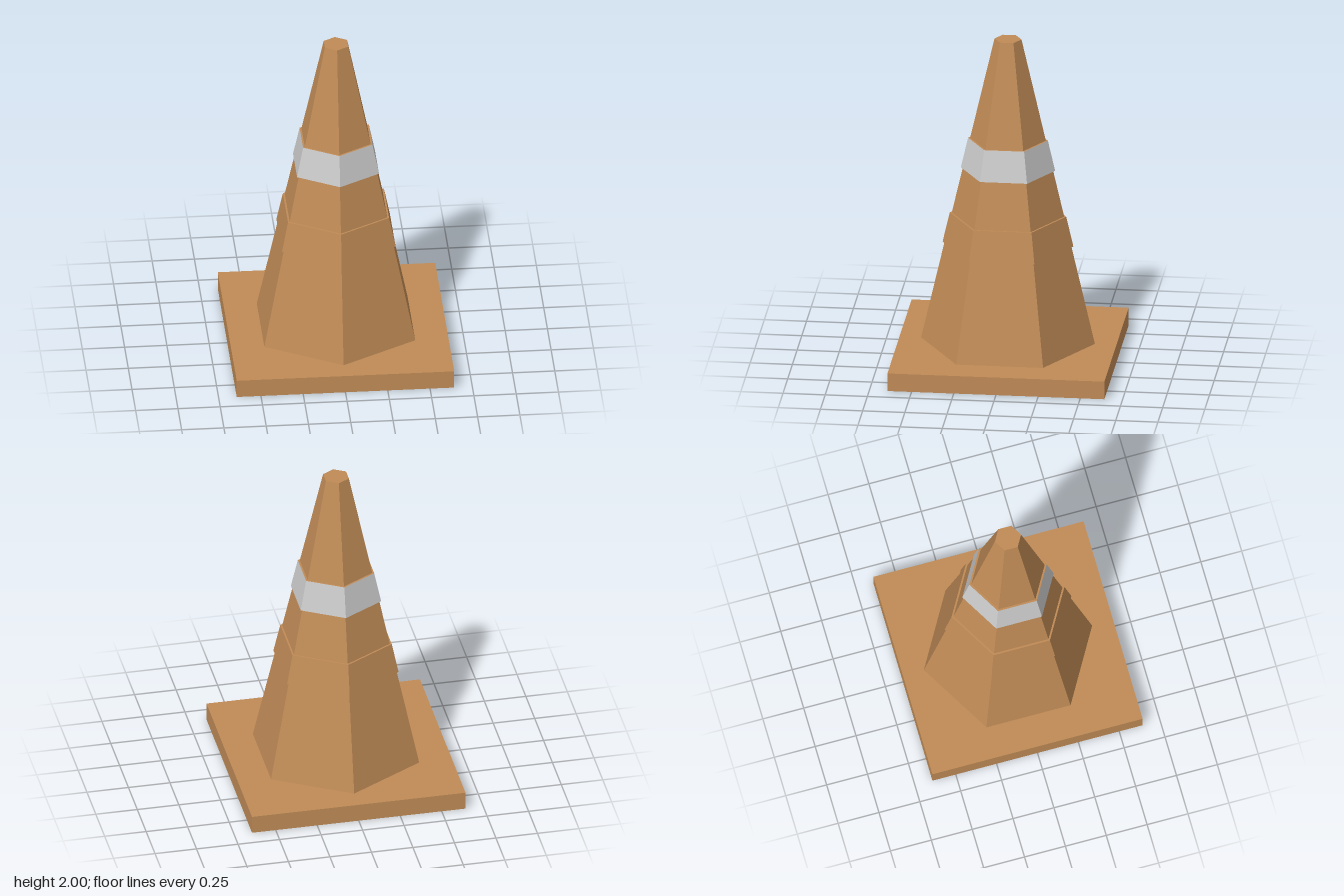
import * as THREE from 'three';

const ORANGE = new THREE.MeshStandardMaterial({ color: 0xc08b56, flatShading: true, side: THREE.DoubleSide });
const GREY = new THREE.MeshStandardMaterial({ color: 0xcccccc, flatShading: true, side: THREE.DoubleSide });

const BASE_TOP = 0.11, HEIGHT = 2, R_BOTTOM = 0.515, R_TOP = 0.08, BASE_SIZE = 1.286;
const BAND_OFFSET = 0.012;

// Radius of the tapering cone at height y
const radiusAt = (y) => THREE.MathUtils.mapLinear(y, BASE_TOP, HEIGHT, R_BOTTOM, R_TOP);

// Six-sided shell from [radius, height] pairs, with corners facing front and back
function hexShell(name, profile, material) {
  const points = profile.map(([r, y]) => new THREE.Vector2(r, y));
  const mesh = new THREE.Mesh(new THREE.LatheGeometry(points, 6), material);
  mesh.name = name;
  return mesh;
}

// Raised sleeve around the cone, with thin ledges above and below
function addBand(group, name, y0, y1, material) {
  const outer0 = radiusAt(y0) + BAND_OFFSET, outer1 = radiusAt(y1) + BAND_OFFSET;
  group.add(
    hexShell(name, [[outer0, y0], [outer1, y1]], material),
    hexShell(name + 'LowerLedge', [[radiusAt(y0), y0], [outer0, y0]], ORANGE),
    hexShell(name + 'UpperLedge', [[outer1, y1], [radiusAt(y1), y1]], ORANGE),
  );
}

export function createModel() {
  const model = new THREE.Group();
  model.name = 'trafficCone';

  // Square base, hollow underneath: the bottom face (group 3) is dropped
  const baseGeometry = new THREE.BoxGeometry(BASE_SIZE, BASE_TOP, BASE_SIZE);
  const { start, count } = baseGeometry.groups[3];
  baseGeometry.setIndex(Array.from(baseGeometry.index.array).filter((_, i) => i < start || i >= start + count));
  baseGeometry.clearGroups();
  const base = new THREE.Mesh(baseGeometry, ORANGE);
  base.name = 'base';
  base.position.y = BASE_TOP / 2;
  model.add(base);

  // Tapered body with a flat tip
  model.add(hexShell('coneBody', [[R_BOTTOM, BASE_TOP], [R_TOP, HEIGHT]], ORANGE));
  const tip = new THREE.Mesh(new THREE.CircleGeometry(R_TOP, 6, Math.PI / 2), ORANGE);
  tip.name = 'tip';
  tip.rotation.x = -Math.PI / 2;
  tip.position.y = HEIGHT;
  model.add(tip);

  // Raised bands
  addBand(model, 'lowerBand', 0.715, 0.9, ORANGE);
  addBand(model, 'reflectiveBand', 1.185, 1.372, GREY);

  return model;
}
